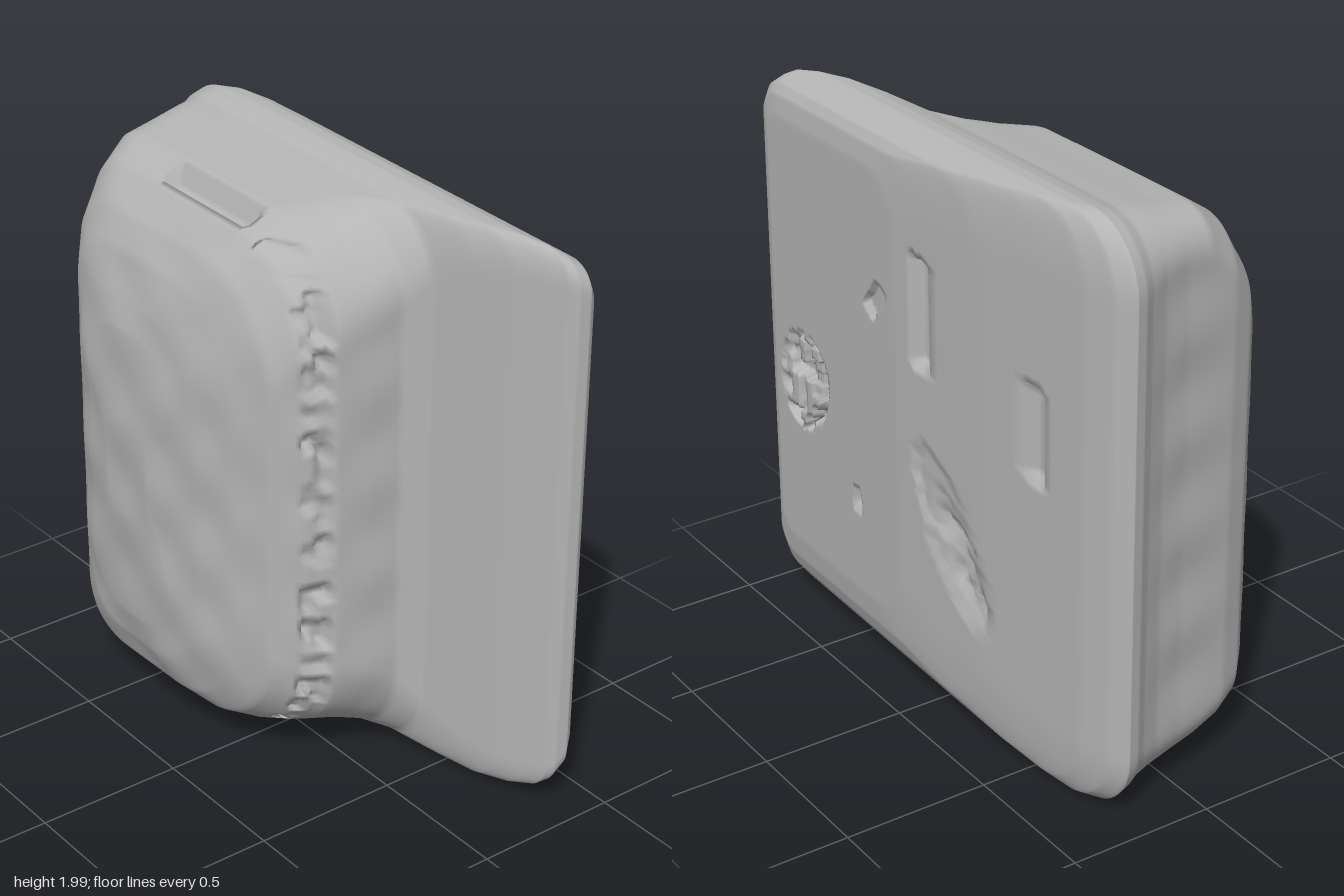
import * as THREE from 'three';

// Sections through the thickness: x, z low, z high, y low, y high, corner radius at +z, at -z
const SECTIONS = [
  [-0.41, -0.48, -0.25, 0.75, 1.12, 0.1, 0.1],
  [-0.39, -0.6, -0.15, 0.38, 1.42, 0.2, 0.18],
  [-0.37, -0.66, -0.03, 0.26, 1.52, 0.28, 0.2],
  [-0.33, -0.73, 0.11, 0.16, 1.66, 0.33, 0.2],
  [-0.28, -0.78, 0.24, 0.12, 1.76, 0.35, 0.19],
  [-0.2, -0.81, 0.32, 0.1, 1.86, 0.35, 0.17],
  [-0.1, -0.825, 0.365, 0.08, 1.925, 0.35, 0.15],
  [0, -0.84, 0.39, 0.065, 1.94, 0.33, 0.15],
  [0.1, -0.865, 0.41, 0.05, 1.96, 0.28, 0.17],
  [0.17, -0.895, 0.46, 0.035, 1.97, 0.2, 0.2],
  [0.21, -0.92, 0.6, 0.02, 1.985, 0.14, 0.22],
  [0.25, -0.93, 0.73, 0.005, 1.995, 0.12, 0.23],
  [0.29, -0.87, 0.83, 0.01, 1.995, 0.11, 0.23],
  [0.32, -0.76, 0.9, 0.03, 1.985, 0.1, 0.22],
  [0.345, -0.58, 0.925, 0.05, 1.97, 0.1, 0.22],
  [0.38, -0.3, 0.935, 0.1, 1.945, 0.09, 0.22],
  [0.4, -0.02, 0.925, 0.16, 1.91, 0.09, 0.2],
  [0.41, 0.12, 0.89, 0.25, 1.84, 0.08, 0.18],
];
const AROUND = 320;

// Repeatable noise on a coarse cell grid, 0 to 1
function cellNoise(a, b) {
  const s = Math.sin(Math.round(a / 0.045) * 12.99 + Math.round(b / 0.045) * 78.23) * 43758.55;
  return s - Math.floor(s);
}

// Dents in the flat face: centre z, centre y, half width, half height, tilt, depth, roughness
const DENTS = [
  [-0.005, 1.42, 0.04, 0.19, 0, 0.04, 0],
  [-0.555, 1.22, 0.045, 0.16, 0, 0.03, 0],
  [0.24, 1.38, 0.035, 0.06, 0.7, 0.02, 0],
  [-0.15, 0.7, 0.11, 0.31, -0.5, 0.015, 0.2],
  [-0.19, 0.65, 0.06, 0.22, -0.5, 0.05, 0.6],
  [0.7, 0.91, 0.15, 0.18, 0.3, 0.05, 1],
  [0.38, 0.6, 0.025, 0.035, 0, 0.025, 0],
];

function dent(p) {
  if (p.x > 0.31) {
    let deepest = 0;
    for (const [z, y, w, h, tilt, depth, rough] of DENTS) {
      const dz = p.z - z, dy = p.y - y;
      const a = (dz * Math.cos(tilt) + dy * Math.sin(tilt)) / w;
      const b = (dy * Math.cos(tilt) - dz * Math.sin(tilt)) / h;
      // Rough pits are oval, clean slots are square
      if ((rough ? Math.hypot(a, b) : Math.max(Math.abs(a), Math.abs(b))) > 1) continue;
      const cut = depth * (1 - rough + rough * 1.4 * Math.max(0, cellNoise(p.z, p.y) - 0.3));
      deepest = Math.max(deepest, cut);
    }
    p.x -= deepest;
  } else if (Math.abs(p.x + 0.16) < 0.045 && p.z > 0.08 && p.y > 0.13 && p.y < 1.85) {
    // Ragged seam down the front of the bulge
    p.z -= 0.07 * Math.max(0, cellNoise(p.x, p.y) - 0.35);
  } else if (Math.abs(p.x + 0.155) < 0.028 && p.y > 1.75 && p.z > -0.43 && p.z < 0.0) {
    // Slot in the top
    p.y -= 0.05;
  } else {
    // Gentle unevenness of the bulge, fading out towards the plate
    const wave = 0.005 * Math.sin(p.y * 19) * Math.cos(p.z * 15 + p.x * 9);
    const turn = THREE.MathUtils.smoothstep(p.x, -0.36, -0.2);
    p.x += wave * (1 - turn);
    p.z += wave * turn * (1 - THREE.MathUtils.smoothstep(p.x, 0, 0.2));
  }
}

// One rounded rectangle in the z-y plane, shrunk by k towards its centre
function ring([x, z0, z1, y0, y1, rFront, rBack], k, out) {
  const hz = (z1 - z0) / 2, hy = (y1 - y0) / 2;
  const p = new THREE.Vector3();
  for (let j = 0; j < AROUND; j++) {
    const t = (4 * j) / AROUND, side = Math.floor(t), f = 2 * (t - side) - 1;
    const [u, v] = [[1, f], [-f, 1], [-1, -f], [f, -1]][side];
    const rad = Math.min(u > 0 ? rFront : rBack, hz, hy);
    const cz = THREE.MathUtils.clamp(u * hz, rad - hz, hz - rad);
    const cy = THREE.MathUtils.clamp(v * hy, rad - hy, hy - rad);
    const dz = u * hz - cz, dy = v * hy - cy, len = Math.hypot(dz, dy) || 1;
    p.set(x, (y0 + y1) / 2 + k * (cy + (rad * dy) / len), (z0 + z1) / 2 + k * (cz + (rad * dz) / len));
    // The height tapers slightly towards the front edge
    p.y = 1 + (p.y - 1) * (1 - 0.03 * Math.max(0, (p.z + 0.55) / 1.4));
    dent(p);
    out.push(p.x, p.y, p.z);
  }
}

function shellGeometry() {
  const positions = [], index = [];
  let rings = 0;
  const add = (section, k) => { ring(section, k, positions); rings++; };
  const last = SECTIONS.length - 1, sub = 7, backSteps = 8, faceSteps = 45;
  // Closed bulge end, body, then the flat face
  for (let i = 0; i < backSteps; i++) add(SECTIONS[0], i / backSteps);
  for (let s = 0; s < last; s++) {
    for (let i = 0; i < sub; i++) {
      add(SECTIONS[s].map((v, n) => THREE.MathUtils.lerp(v, SECTIONS[s + 1][n], i / sub)), 1);
    }
  }
  for (let i = 0; i <= faceSteps; i++) add(SECTIONS[last], 1 - i / faceSteps);
  for (let i = 0; i < rings - 1; i++) {
    for (let j = 0; j < AROUND; j++) {
      const a = i * AROUND + j, b = i * AROUND + ((j + 1) % AROUND);
      index.push(a, a + AROUND, b, b, a + AROUND, b + AROUND);
    }
  }
  const geometry = new THREE.BufferGeometry();
  geometry.setAttribute('position', new THREE.Float32BufferAttribute(positions, 3));
  geometry.setIndex(index);
  geometry.computeVertexNormals();
  return geometry;
}

export function createModel() {
  const grey = new THREE.MeshStandardMaterial({ color: 0xb4b4b4 });
  grey.name = 'plain grey';
  const shell = new THREE.Mesh(shellGeometry(), grey);
  shell.name = 'plateWithBulge';
  const model = new THREE.Group();
  model.name = 'bulgedPanel';
  model.add(shell);
  return model;
}
